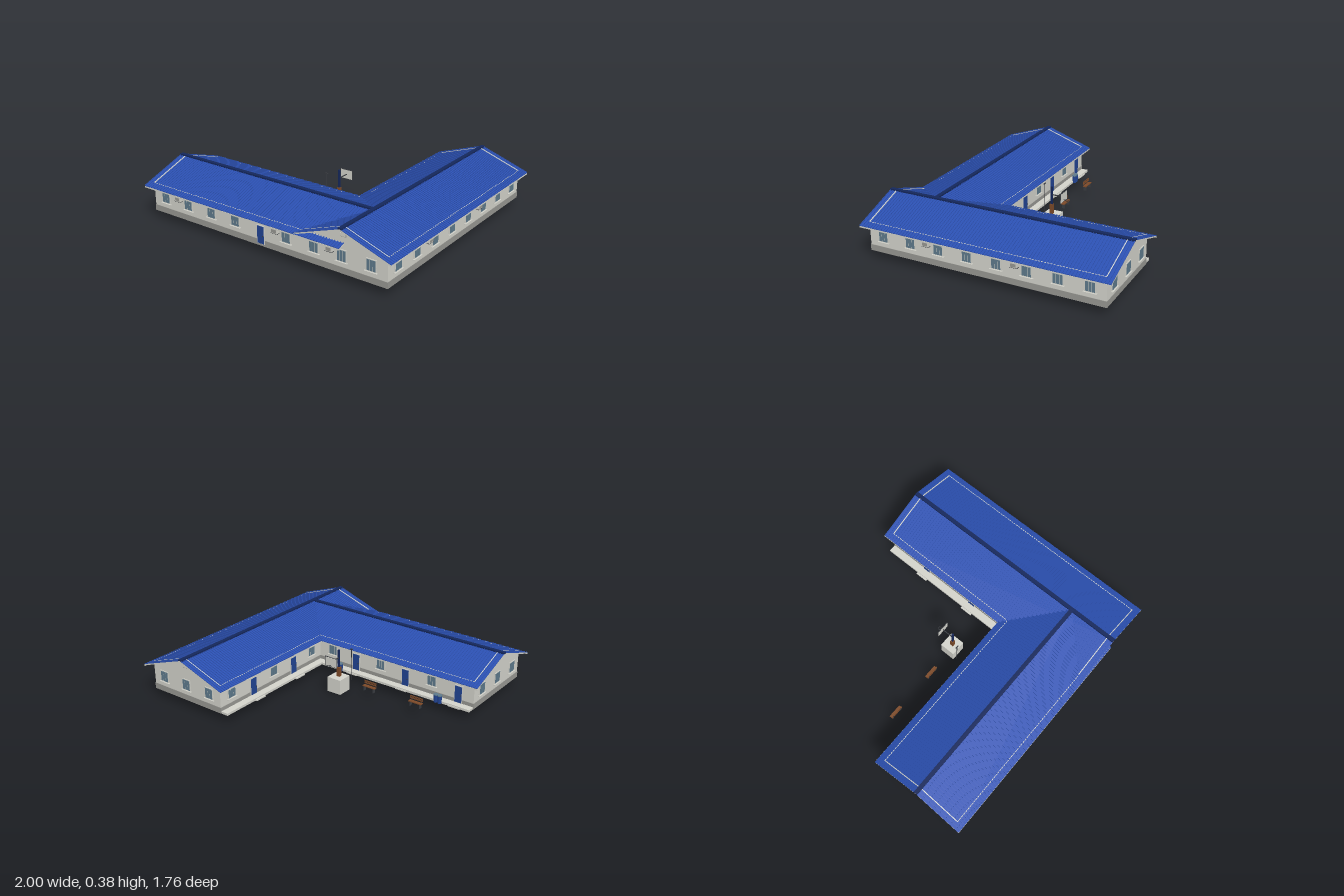
import * as THREE from 'three';
import { mergeGeometries } from 'three/addons/utils/BufferGeometryUtils.js';

const mat = (name, color) => Object.assign(new THREE.MeshStandardMaterial({ color }), { name });

const EAVE = 0.245, RISE = 0.123, HALF = 0.358, WALL = 0.31, BASE = 0.06;
const roofY = (x) => EAVE + RISE * (1 - Math.abs(x) / HALF);

export function createModel() {
  const M = {
    wall: mat('paleWall', 0xd4d4cc),
    plinth: mat('greyPlinth', 0x989893),
    roof: mat('blueRoof', 0x2b50b2),
    navy: mat('navyRidge', 0x14275c),
    door: mat('blueDoor', 0x214494),
    glass: mat('windowGlass', 0x5f7b8d),
    wood: mat('brownWood', 0x7d4a28),
    dark: mat('darkMetal', 0x3a3d42),
  };
  const model = new THREE.Group();

  const add = (parent, name, geo, material, x = 0, y = 0, z = 0) => {
    const m = new THREE.Mesh(geo, material);
    m.name = name;
    m.position.set(x, y, z);
    parent.add(m);
    return m;
  };
  const box = (parent, name, material, w, h, d, x, y, z) =>
    add(parent, name, new THREE.BoxGeometry(w, h, d), material, x, y, z);
  const group = (name, parent = model) => {
    const g = new THREE.Group();
    g.name = name;
    parent.add(g);
    return g;
  };
  const extrude = (pts, z0, z1) => {
    const s = new THREE.Shape(pts.map(([x, y]) => new THREE.Vector2(x, y)));
    return new THREE.ExtrudeGeometry(s, { depth: z1 - z0, bevelEnabled: false }).translate(0, 0, z0);
  };
  // Bent strip following the roof pitch, between two heights above its surface
  const chevron = (h, lo, hi, z0, z1) => extrude([
    [-h, roofY(h) + lo], [0, roofY(0) + lo], [h, roofY(h) + lo],
    [h, roofY(h) + hi], [0, roofY(0) + hi], [-h, roofY(h) + hi],
  ], z0, z1);

  // One gabled wing along local z; gables lists the free ends
  function wing(name, roof0, roof1, wall0, wall1, gables) {
    const g = group(name);
    const len = wall1 - wall0, mid = (wall0 + wall1) / 2;
    box(g, 'plinth', M.plinth, 2 * WALL + 0.006, 0.042, len + 0.006, 0, BASE + 0.021, mid);
    const top = (x) => roofY(x) - 0.005;
    add(g, 'walls', extrude([
      [-WALL, 0.1], [WALL, 0.1], [WALL, top(WALL)], [0, top(0)], [-WALL, top(WALL)],
    ], wall0, wall1), M.wall);
    add(g, 'roofPanels', chevron(HALF, -0.009, 0, roof0, roof1), [M.wall, M.roof]);

    // Raised seams
    const ribs = [];
    const n = Math.round((roof1 - roof0) / 0.0205);
    for (let i = 0; i <= n; i++) {
      const z = roof0 + 0.003 + (i / n) * (roof1 - roof0 - 0.006);
      ribs.push(chevron(HALF, -0.001, 0.004, z - 0.0025, z + 0.0025));
    }
    add(g, 'roofSeams', mergeGeometries(ribs), M.roof);
    box(g, 'ridgeCap', M.navy, 0.028, 0.012, roof1 - roof0, 0, roofY(0) + 0.001, (roof0 + roof1) / 2);
    for (const s of [-1, 1]) {
      box(g, 'eaveFascia', M.wall, 0.004, 0.01, roof1 - roof0, s * (HALF - 0.001), EAVE - 0.008, (roof0 + roof1) / 2);
      // Side wall tops showing between the seams
      box(g, 'wallHead', M.wall, 0.005, 0.01, len, s * WALL, roofY(WALL) - 0.004, mid);
    }
    for (const z of gables) {
      add(g, 'gableHead', chevron(WALL, -0.008, 0.0045, z - 0.003, z + 0.003), M.wall);
    }
    return g;
  }

  const wingB = wing('sideWing', -0.88, 0.88, -0.835, 0.835, [-0.832, 0.832]);
  wingB.position.x = 0.642;
  const wingA = wing('frontWing', -0.642, 1, -0.6, 0.955, [0.952]);
  wingA.position.z = 0.525;
  wingA.rotation.y = -Math.PI / 2;

  // Wall fittings, built facing +z
  const at = (name, x, y, z, turn) => {
    const g = group(name);
    g.position.set(x, y, z);
    g.rotation.y = turn * Math.PI / 2;
    return g;
  };
  const windowAt = (x, z, turn) => {
    const g = at('window', x, 0.178, z, turn);
    box(g, 'windowFrame', M.wall, 0.074, 0.08, 0.006, 0, 0, 0.002);
    for (const i of [-1, 0, 1]) box(g, 'windowPane', M.glass, 0.0185, 0.07, 0.004, i * 0.0215, 0, 0.005);
    box(g, 'windowSill', M.wall, 0.09, 0.005, 0.014, 0, -0.043, 0.006);
  };
  const doorAt = (x, z, turn) => {
    const g = at('door', x, 0.138, z, turn);
    box(g, 'doorFrame', M.wall, 0.062, 0.126, 0.008, 0, 0.001, 0.002);
    box(g, 'doorLeaf', M.door, 0.052, 0.118, 0.008, 0, 0, 0.005);
    box(g, 'doorHandle', M.dark, 0.004, 0.008, 0.006, 0.019, -0.005, 0.011);
  };
  const coolerAt = (x, z, turn) => {
    const g = at('airConditioner', x, 0.205, z, turn);
    box(g, 'coolerCase', M.wall, 0.048, 0.032, 0.024, 0, 0, 0.013);
    box(g, 'coolerGrille', M.plinth, 0.036, 0.022, 0.002, 0, 0, 0.0255);
    box(g, 'coolerBracket', M.dark, 0.052, 0.003, 0.024, 0, -0.017, 0.013);
  };
  const ventAt = (x, z, turn) => {
    const g = at('gableVent', x, 0.318, z, turn);
    box(g, 'ventFrame', M.plinth, 0.042, 0.028, 0.006, 0, 0, 0.002);
    box(g, 'ventLouvre', M.wall, 0.036, 0.022, 0.004, 0, 0, 0.005);
  };

  const front = 0.835, right = 0.952, left = -0.955, yardZ = 0.215, yardX = 0.332;
  // Front and outer side
  for (const x of [-0.845, -0.635, -0.425, -0.215, 0.205, 0.42, 0.628, 0.838]) windowAt(x, front, 0);
  doorAt(0, front, 0);
  for (const x of [-0.715, 0.125, 0.545]) coolerAt(x, front, 0);
  for (let i = 0; i < 8; i++) windowAt(right, 0.73 - i * 0.2086, 1);
  for (const z of [0.395, -0.235]) coolerAt(right, z, 1);
  // Gable ends
  for (const d of [-0.21, 0, 0.21]) {
    windowAt(0.642 + d, -front, 2);
    windowAt(left, 0.525 + d, -1);
  }
  ventAt(0.638, front, 0);
  ventAt(0.642, -front, 2);
  ventAt(left, 0.525, -1);
  // Courtyard sides with door steps
  for (const x of [0.21, -0.21, -0.63]) windowAt(x, yardZ, 2);
  for (const z of [0.105, -0.31, -0.73]) windowAt(yardX, z, -1);
  for (const x of [0, -0.42, -0.84]) {
    doorAt(x, yardZ, 2);
    box(model, 'doorStep', M.wall, 0.09, 0.009, 0.02, x, BASE + 0.0045, 0.163);
  }
  for (const z of [-0.1, -0.52]) {
    doorAt(yardX, z, -1);
    box(model, 'doorStep', M.wall, 0.02, 0.009, 0.09, 0.271, BASE + 0.0045, z);
  }

  // Courtyard walkway
  box(model, 'walkway', M.wall, 1.232, 0.016, 0.06, -0.339, BASE + 0.008, 0.19);
  box(model, 'walkway', M.wall, 0.06, 0.016, 1.055, 0.305, BASE + 0.008, -0.3075);

  // Benches
  for (const x of [-0.63, -0.255]) {
    const g = group('bench');
    g.position.set(x, BASE, 0.015);
    box(g, 'benchSeat', M.wood, 0.1, 0.006, 0.026, 0, 0.034, 0);
    for (const y of [0.05, 0.064]) box(g, 'benchBack', M.wood, 0.1, 0.009, 0.004, 0, y, 0.012);
    for (const s of [-1, 1]) {
      box(g, 'benchLeg', M.dark, 0.005, 0.034, 0.022, s * 0.038, 0.017, 0);
      box(g, 'benchPost', M.dark, 0.005, 0.036, 0.003, s * 0.038, 0.05, 0.0145);
    }
  }

  // Bins
  for (const x of [-0.73, -0.7, 0.1]) {
    const g = group('bin');
    g.position.set(x, BASE, 0.157);
    add(g, 'binBody', new THREE.CylinderGeometry(0.016, 0.014, 0.054, 16), M.door, 0, 0.027, 0);
    add(g, 'binLid', new THREE.CylinderGeometry(0.017, 0.017, 0.006, 16), M.glass, 0, 0.057, 0);
  }

  // Basketball hoop on a concrete footing
  const hoop = group('basketballHoop');
  box(hoop, 'footing', M.wall, 0.11, 0.11, 0.11, -0.003, 0.055, -0.004);
  box(hoop, 'postFoot', M.wood, 0.024, 0.07, 0.024, -0.003, 0.145, 0);
  box(hoop, 'post', M.navy, 0.012, 0.2, 0.012, -0.003, 0.21, 0);
  box(hoop, 'arm', M.dark, 0.006, 0.006, 0.09, -0.003, 0.25, -0.045);
  box(hoop, 'backboard', M.dark, 0.1, 0.07, 0.004, -0.003, 0.25, -0.09);
  for (const s of [-1, 1]) box(hoop, 'backboardFace', M.wall, 0.094, 0.064, 0.001, -0.003, 0.25, -0.09 + s * 0.0023);
  const ring = add(hoop, 'ring', new THREE.TorusGeometry(0.011, 0.002, 6, 20), M.dark, -0.003, 0.228, -0.116);
  ring.rotation.x = Math.PI / 2;
  box(hoop, 'ringBracket', M.dark, 0.004, 0.004, 0.014, -0.003, 0.228, -0.098);

  // Slim lamp post
  const lamp = group('lampPost');
  lamp.position.set(-0.052, 0, 0.08);
  add(lamp, 'lampPole', new THREE.CylinderGeometry(0.002, 0.002, 0.24, 8), M.dark, 0, 0.18, 0);
  box(lamp, 'lampHead', M.dark, 0.024, 0.005, 0.007, 0, 0.3, 0);

  return model;
}
